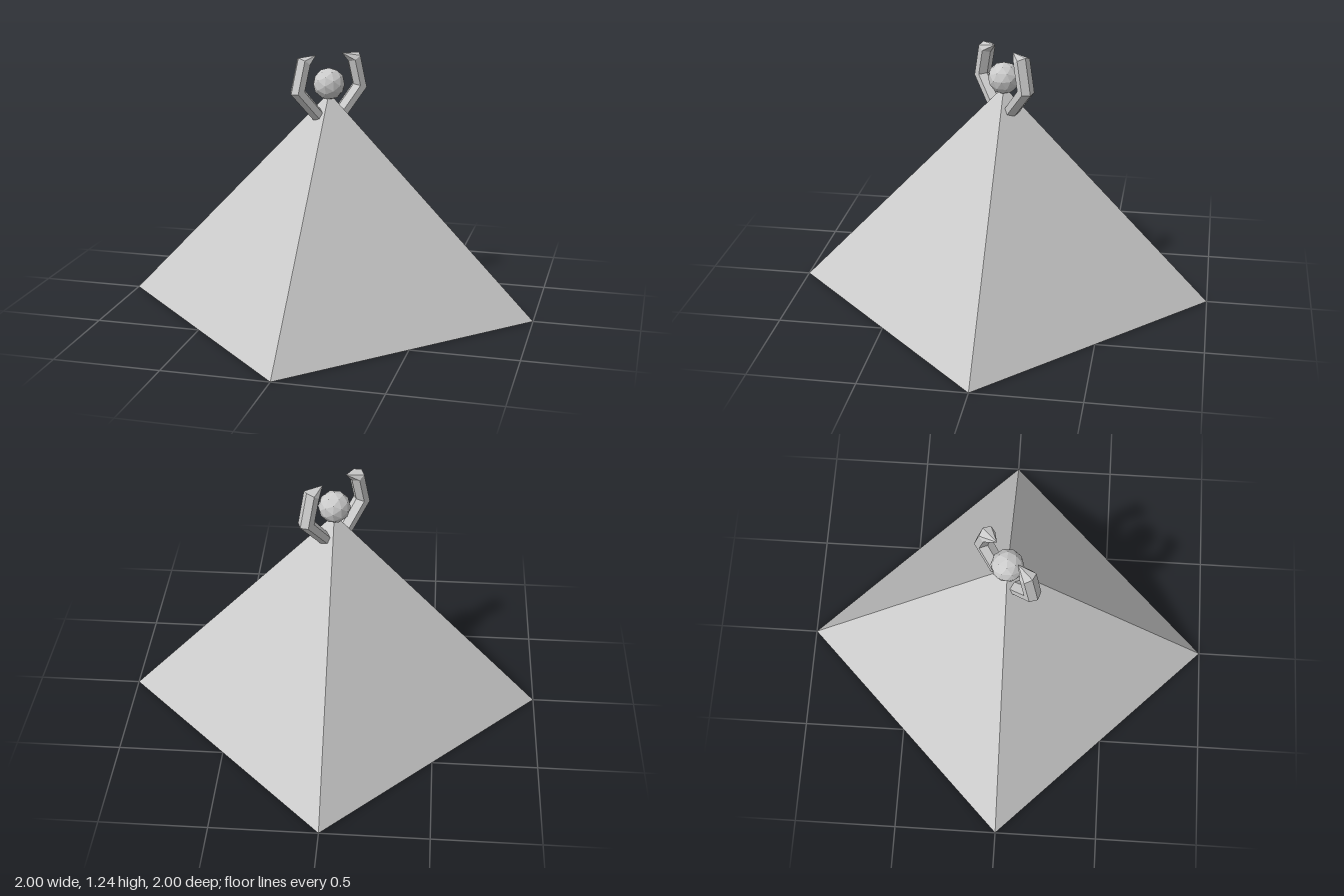
import * as THREE from 'three';

const material = new THREE.MeshStandardMaterial({ color: 0xcccccc, flatShading: true, roughness: 0.8 });

// Hexagonal tube through stations [outerR, outerY, innerR, innerY, halfWidth]; a zero width closes an end.
function clawGeometry(stations, sides = 6) {
  const positions = [];
  const index = [];
  for (const [ox, oy, ix, iy, w] of stations) {
    for (let j = 0; j < sides; j++) {
      const a = (j / sides) * Math.PI * 2;
      const c = Math.cos(a) / 2;
      positions.push((ox + ix) / 2 + c * (ox - ix), (oy + iy) / 2 + c * (oy - iy), w * Math.sin(a));
    }
  }
  const last = stations.length - 1;
  for (let i = 0; i < last; i++) {
    for (let j = 0; j < sides; j++) {
      const a = i * sides + j;
      const b = i * sides + ((j + 1) % sides);
      if (stations[i][4] > 0) index.push(a, a + sides, b);
      if (stations[i + 1][4] > 0) index.push(b, a + sides, b + sides);
    }
  }
  const geometry = new THREE.BufferGeometry();
  geometry.setAttribute('position', new THREE.Float32BufferAttribute(positions, 3));
  geometry.setIndex(index);
  const flat = geometry.toNonIndexed();
  flat.computeVertexNormals();
  return flat;
}

export function createModel() {
  const model = new THREE.Group();
  model.name = 'clawTippedPyramid';

  const add = (name, geometry, parent = model) => {
    const mesh = new THREE.Mesh(geometry, material);
    mesh.name = name;
    parent.add(mesh);
    return mesh;
  };

  // Four-sided body with its corners on the x and z axes
  add('pyramid', new THREE.ConeGeometry(1, 1.055, 4)).position.y = 1.055 / 2;

  // Faceted ball resting on the apex
  add('orb', new THREE.IcosahedronGeometry(0.076, 1)).position.y = 1.098;

  // Two bent claws facing each other across a diagonal
  const claw = clawGeometry([
    [0.058, 0.948, 0.058, 0.948, 0],
    [0.085, 0.932, 0.03, 0.962, 0.042],
    [0.205, 1.065, 0.135, 1.085, 0.042],
    [0.165, 1.235, 0.108, 1.195, 0.042],
    [0.07, 1.24, 0.07, 1.24, 0],
  ]);
  const claws = new THREE.Group();
  claws.name = 'claws';
  claws.rotation.y = Math.PI / 4;
  model.add(claws);
  add('leftClaw', claw, claws);
  add('rightClaw', claw, claws).rotation.y = Math.PI;

  return model;
}
